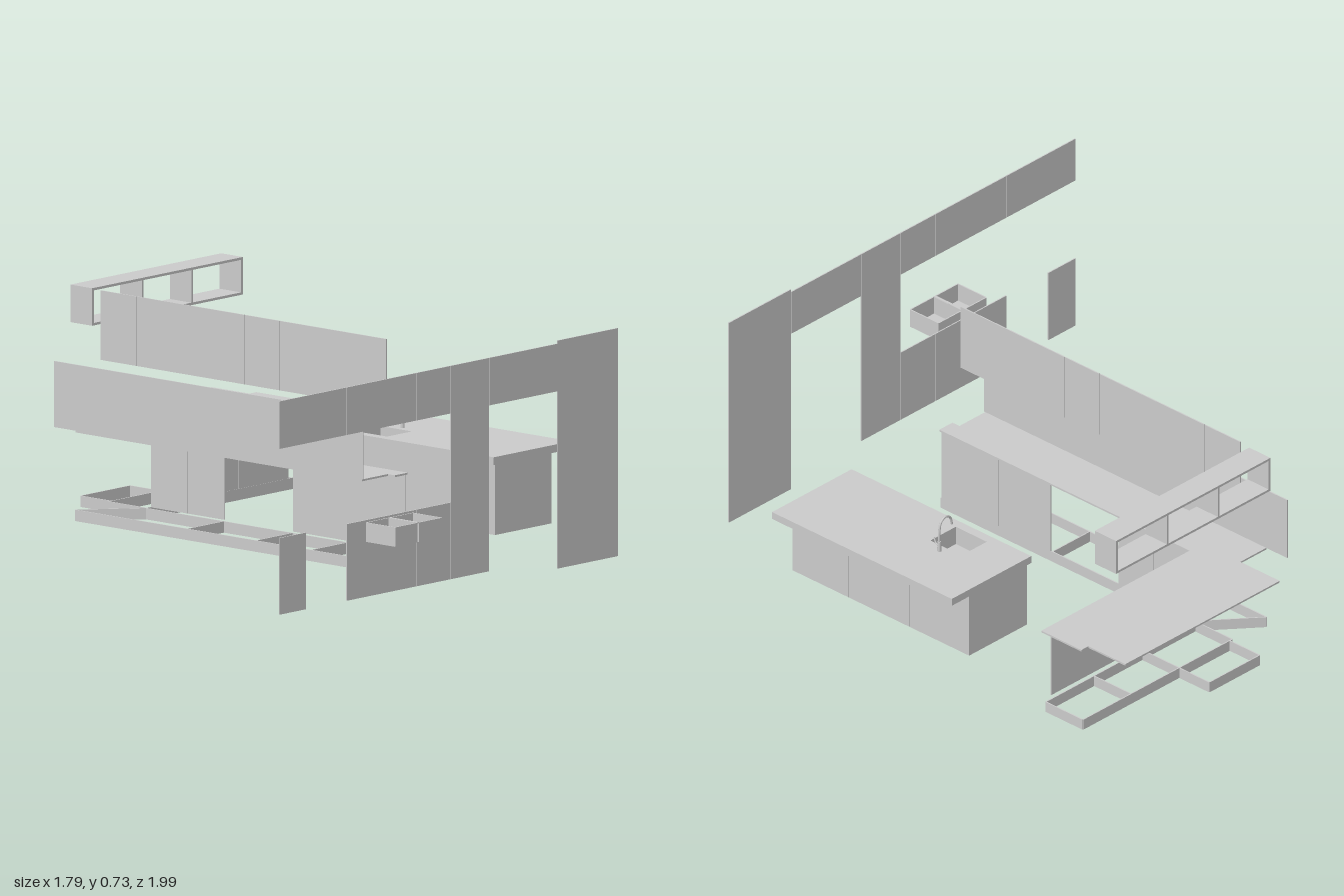
import * as THREE from 'three';

const grey = new THREE.MeshStandardMaterial({ color: 0xcccccc, side: THREE.DoubleSide });

// Box given by its limits on each axis
function box(parent, name, x0, x1, y0, y1, z0, z1) {
  const mesh = new THREE.Mesh(new THREE.BoxGeometry(x1 - x0, y1 - y0, z1 - z0), grey);
  mesh.position.set((x0 + x1) / 2, (y0 + y1) / 2, (z0 + z1) / 2);
  mesh.name = name;
  parent.add(mesh);
  return mesh;
}

function group(parent, name) {
  const g = new THREE.Group();
  g.name = name;
  parent.add(g);
  return g;
}

// Horizontal slab from an outline of [x, z] points, with an optional hole
function slab(parent, name, outline, y0, y1, hole) {
  const toPoints = (list) => list.map(([x, z]) => new THREE.Vector2(x, -z));
  const shape = new THREE.Shape(toPoints(outline));
  if (hole) shape.holes.push(new THREE.Path(toPoints(hole)));
  const geo = new THREE.ExtrudeGeometry(shape, { depth: y1 - y0, bevelEnabled: false });
  geo.rotateX(-Math.PI / 2).translate(0, y0, 0);
  const mesh = new THREE.Mesh(geo, grey);
  mesh.name = name;
  parent.add(mesh);
}

const rect = (x0, x1, z0, z1) => [[x0, z0], [x1, z0], [x1, z1], [x0, z1]];

// Upright board between two floor points
function board(parent, name, [xa, za], [xb, zb], y0, y1, t = 0.004) {
  const mesh = new THREE.Mesh(new THREE.BoxGeometry(Math.hypot(xb - xa, zb - za), y1 - y0, t), grey);
  mesh.position.set((xa + xb) / 2, (y0 + y1) / 2, (za + zb) / 2);
  mesh.rotation.y = -Math.atan2(zb - za, xb - xa);
  mesh.name = name;
  parent.add(mesh);
}

function loop(parent, name, points, y0, y1) {
  points.forEach((p, i) => board(parent, name, p, points[(i + 1) % points.length], y0, y1));
}

// Open basin with thin walls and a floor
function basin(parent, name, x0, x1, z0, z1, y0, y1) {
  const g = group(parent, name);
  loop(g, 'basinWall', rect(x0, x1, z0, z1), y0, y1);
  box(g, 'basinFloor', x0, x1, y0, y0 + 0.002, z0, z1);
}

function tube(parent, name, points, radius) {
  const curve = new THREE.CatmullRomCurve3(points.map((p) => new THREE.Vector3(...p)));
  const mesh = new THREE.Mesh(new THREE.TubeGeometry(curve, 24, radius, 10), grey);
  mesh.name = name;
  parent.add(mesh);
}

export function createModel() {
  const model = new THREE.Group();
  model.name = 'kitchen';
  const gap = 0.001;

  // Row of front panels: x0, x1, y0, y1
  const fronts = group(model, 'frontPanels');
  [
    [-0.9, -0.585, 0.57, 0.722], [-0.585, -0.26, 0.57, 0.722], [-0.26, -0.1, 0.57, 0.722],
    [-0.1, 0.08, 0.04, 0.722], [0.08, 0.4, 0.57, 0.722], [0.4, 0.685, 0.003, 0.732],
    [-0.9, -0.775, 0.04, 0.285], [-0.585, -0.26, 0.04, 0.285], [-0.26, -0.1, 0.04, 0.285],
  ].forEach(([x0, x1, y0, y1]) => box(fronts, 'frontPanel', x0 + gap, x1 - gap, y0, y1, 0.833, 0.837));

  // Loose double sink
  const sink = group(model, 'doubleSink');
  basin(sink, 'leftBowl', -0.42, -0.312, 0.87, 0.992, 0.225, 0.287);
  basin(sink, 'rightBowl', -0.53, -0.427, 0.87, 0.992, 0.225, 0.287);
  slab(sink, 'sinkBridge', rect(-0.428, -0.419, 0.87, 0.992), 0.284, 0.288);

  // Island with drawer fronts, overhanging top and inset sink
  const island = group(model, 'island');
  const splits = [-0.32, -0.06, 0.2, 0.445];
  for (let i = 0; i < 3; i++) {
    box(island, 'islandFront', 0.801, 0.805, 0.04, 0.265, splits[i] + gap, splits[i + 1] - gap);
  }
  box(island, 'islandBack', 0.54, 0.544, 0.04, 0.265, -0.32, 0.445);
  box(island, 'islandEnd', 0.54, 0.803, 0.04, 0.265, 0.441, 0.445);
  box(island, 'islandEnd', 0.54, 0.803, 0.04, 0.265, -0.32, -0.316);
  box(island, 'islandFloor', 0.54, 0.803, 0.04, 0.044, -0.32, 0.445);
  const bowl = [0.562, 0.682, -0.17, -0.032];
  slab(island, 'islandTop', rect(0.532, 0.895, -0.33, 0.447), 0.265, 0.29, rect(...bowl));
  basin(island, 'islandSink', ...bowl, 0.225, 0.29);

  // Arched tap with a side lever
  const tap = group(island, 'tap');
  tube(tap, 'spout', [
    [0.707, 0.29, -0.098], [0.707, 0.36, -0.098], [0.7, 0.39, -0.098],
    [0.68, 0.403, -0.098], [0.658, 0.392, -0.098], [0.65, 0.365, -0.098],
  ], 0.004);
  const base = new THREE.Mesh(new THREE.CylinderGeometry(0.006, 0.007, 0.035, 12), grey);
  base.position.set(0.707, 0.307, -0.098);
  base.name = 'tapBase';
  tap.add(base);
  tube(tap, 'lever', [[0.707, 0.308, -0.098], [0.707, 0.312, -0.085], [0.707, 0.33, -0.075]], 0.0025);

  // L-shaped worktop with its notches
  slab(model, 'worktop', [
    [-0.015, -0.83], [0.105, -0.83], [0.105, -1], [0.81, -1], [0.81, -0.84], [0.842, -0.84],
    [0.842, -0.667], [0.165, -0.667], [0.165, 0.415], [0.105, 0.415], [0.105, 0.385], [-0.015, 0.385],
  ], 0.283, 0.289);

  // Splashback and wall cabinet fronts
  box(model, 'splashback', -0.017, -0.013, 0.289, 0.5, -0.92, 0.39);
  const wallSplits = [-0.825, -0.67, -0.215, -0.065, 0.387];
  for (let i = 0; i < 4; i++) {
    box(model, 'wallCabinetFront', 0.096, 0.1, 0.5, 0.722, wallSplits[i] + gap, wallSplits[i + 1] - gap);
  }

  // Base cabinet fronts on both legs, with an opening for an appliance
  [[-0.665, -0.51], [-0.51, -0.355], [-0.065, 0.16], [0.16, 0.41]].forEach(([z0, z1]) =>
    box(model, 'sideBaseFront', 0.158, 0.162, 0.04, 0.283, z0 + gap, z1 - gap));
  [[0.165, 0.335], [0.335, 0.57], [0.57, 0.805]].forEach(([x0, x1]) =>
    box(model, 'backBaseFront', x0 + gap, x1 - gap, 0.04, 0.283, -0.674, -0.67));

  // Plinth frames with cross boards, mitred at the inner corner
  const plinth = group(model, 'plinth');
  loop(plinth, 'sidePlinth', [[-0.015, 0.417], [0.155, 0.417], [0.155, -0.685], [-0.015, -0.83]], 0, 0.036);
  [0.17, -0.065, -0.355].forEach((z) => board(plinth, 'plinthBrace', [-0.015, z], [0.155, z], 0, 0.036));
  loop(plinth, 'backPlinth', [[0.158, -0.685], [0.84, -0.685], [0.84, -0.845], [0.158, -0.845]], 0, 0.036);
  [0.4, 0.62].forEach((x) => board(plinth, 'plinthBrace', [x, -0.685], [x, -0.845], 0, 0.036));
  loop(plinth, 'rearPlinth', rect(0.17, 0.4, -0.975, -0.845), 0, 0.036);

  // Open wall shelf with three compartments
  const shelf = group(model, 'wallShelf');
  const t = 0.008;
  box(shelf, 'shelfTop', 0.105, 0.81, 0.722 - t, 0.722, -0.96, -0.868);
  box(shelf, 'shelfBottom', 0.105, 0.81, 0.602, 0.602 + t, -0.96, -0.868);
  for (let i = 0; i < 4; i++) {
    const x = 0.105 + (i * (0.705 - t)) / 3;
    box(shelf, 'shelfDivider', x, x + t, 0.602 + t, 0.722 - t, -0.96, -0.868);
  }
  return model;
}
